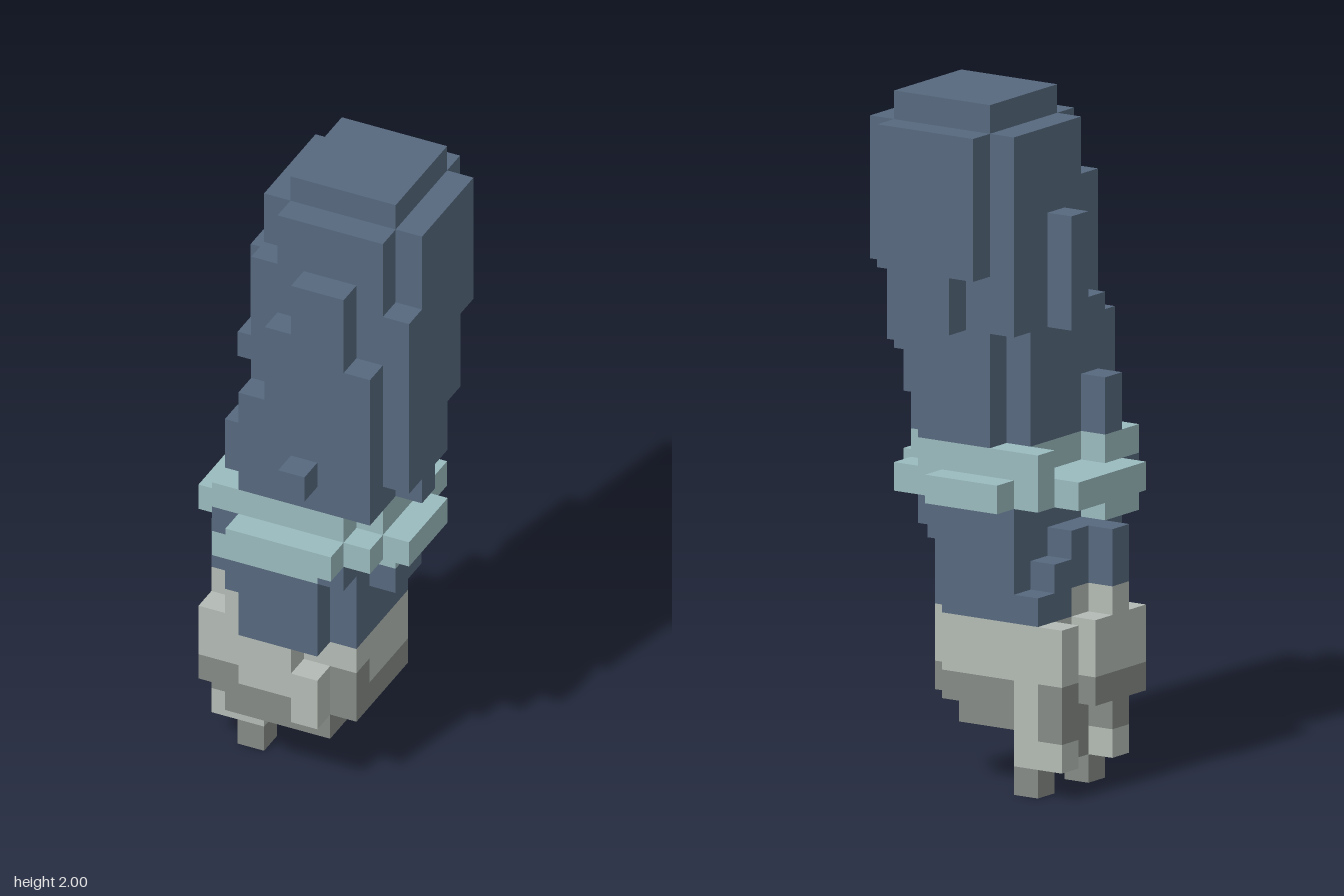
import * as THREE from 'three';

const U = 1 / 12; // size of one block

const material = (name, color) => {
  const m = new THREE.MeshStandardMaterial({ color });
  m.name = name;
  return m;
};
const navy = material('navy', 0x56687e);
const teal = material('teal', 0x9abbbe);
const paleGrey = material('paleGrey', 0xb3bab4);
const darkGrey = material('darkGrey', 0x858a85);

const MATERIALS = {
  upperShaft: navy, band: teal, lowerShaft: navy,
  cuff: paleGrey, base: darkGrey, footStem: paleGrey, footTip: darkGrey,
};

// Each face: outward normal and its four corners, counter-clockwise from outside
const FACES = [
  [[1, 0, 0], [[1, 0, 1], [1, 0, 0], [1, 1, 0], [1, 1, 1]]],
  [[-1, 0, 0], [[0, 0, 0], [0, 0, 1], [0, 1, 1], [0, 1, 0]]],
  [[0, 1, 0], [[0, 1, 1], [1, 1, 1], [1, 1, 0], [0, 1, 0]]],
  [[0, -1, 0], [[0, 0, 0], [1, 0, 0], [1, 0, 1], [0, 0, 1]]],
  [[0, 0, 1], [[0, 0, 1], [1, 0, 1], [1, 1, 1], [0, 1, 1]]],
  [[0, 0, -1], [[1, 0, 0], [0, 0, 0], [0, 1, 0], [1, 1, 0]]],
];

export function createModel() {
  const blocks = new Map();
  const key = (x, y, z) => `${x},${y},${z}`;

  // Fill a range of blocks with a part; a null part carves them away
  const fill = (part, x0, x1, y0, y1, z0, z1) => {
    for (let x = x0; x < x1; x++)
      for (let y = y0; y < y1; y++)
        for (let z = z0; z < z1; z++) {
          if (part) blocks.set(key(x, y, z), { part, p: [x, y, z] });
          else blocks.delete(key(x, y, z));
        }
  };

  // Upper shaft: core and cap
  fill('upperShaft', -2, 3, 12, 23, -3, 2);
  fill(null, -2, -1, 21, 23, 1, 2);
  fill('upperShaft', -1, 3, 23, 24, -3, 1);
  fill(null, -2, -1, 12, 16, -3, -2);
  fill(null, 2, 3, 12, 15, -3, -2);
  // Front plate, column by column: [x, top]
  for (const [x, top] of [[-2, 16], [-1, 19], [0, 21], [1, 21], [2, 18]])
    fill('upperShaft', x, x + 1, 12, top, 2, 3);
  fill('upperShaft', 0, 1, 13, 14, 3, 4);
  // Right plate: [z, bottom, top]
  for (const [z, lo, hi] of [[-3, 18, 23], [-2, 15, 23], [-1, 13, 23], [0, 12, 23], [1, 13, 20]])
    fill('upperShaft', 3, 4, lo, hi, z, z + 1);
  // Back plate: [x, bottom]
  for (const [x, lo] of [[-1, 18], [0, 16], [1, 17], [2, 18]])
    fill('upperShaft', x, x + 1, lo, 23, -4, -3);
  // Ridges on the other side
  fill('upperShaft', -3, -2, 16, 20, -1, 0);
  fill('upperShaft', -3, -2, 16, 17, 0, 1);
  fill('upperShaft', -3, -2, 12, 14, 1, 2);

  // Band: core, corner studs and four bars
  fill('band', -2, 2, 10, 12, -3, 3);
  fill('band', 2, 3, 10, 12, -2, 2);
  fill('band', 2, 3, 10, 11, 2, 3);
  fill('band', 2, 3, 10, 11, -3, -2);
  fill('band', -3, -2, 10, 12, -3, -2);
  fill('band', -3, -2, 10, 11, -2, 1);
  fill('band', -3, -2, 9, 12, 1, 3);
  fill('band', -2, 2, 10, 11, 3, 4);
  fill('band', -2, 1, 10, 11, -4, -3);
  fill('band', 3, 4, 10, 11, -1, 2);
  fill('band', -4, -3, 10, 11, -2, 2);
  fill('lowerShaft', -3, -2, 10, 11, 2, 3);

  // Lower shaft, with cut corners and side lumps
  fill('lowerShaft', -2, 2, 6, 10, -2, 2);
  fill('lowerShaft', -2, 1, 6, 10, -3, -2);
  fill('lowerShaft', -2, 1, 6, 10, 2, 3);
  fill('lowerShaft', 1, 2, 9, 10, -3, -2);
  fill('lowerShaft', 1, 2, 9, 10, 2, 3);
  fill('band', -2, 1, 9, 10, 2, 3);
  fill('lowerShaft', 2, 3, 8, 9, -1, 1);
  fill('band', 2, 3, 9, 10, -1, 1);
  fill('lowerShaft', -3, -2, 7, 9, -1, 2);
  fill('lowerShaft', -3, -2, 6, 8, -2, -1);
  fill('lowerShaft', -3, -2, 6, 7, -3, -2);
  fill('lowerShaft', -4, -3, 7, 9, 0, 1);

  // Cuff and base: pale above, dark below
  for (const [part, y0, y1] of [['cuff', 4, 6], ['base', 3, 4]]) {
    fill(part, -2, 2, y0, y1, -2, 2);
    fill(part, -2, 1, y0, y1, -3, -2);
    fill(part, -2, 0, y0, y1, 2, 3);
    fill(part, -4, -2, y0, y1, -1, 2);
    fill(part, -3, -2, y0, y1, -2, -1);
  }
  fill('cuff', -3, -2, 6, 7, -1, 2);
  fill('cuff', -4, -3, 6, 7, 0, 1);
  fill('cuff', 0, 1, 3, 5, 2, 3);
  fill('base', 1, 2, 4, 5, 1, 2);
  fill('base', -3, 1, 2, 3, -2, 2);

  // Small feet on one side
  fill('footStem', -3, -2, 1, 6, -3, -2);
  fill('footStem', -4, -3, 4, 6, -3, -2);
  fill('base', -4, -3, 2, 4, -3, -2);
  fill('base', -4, -3, 2, 3, 0, 1);
  fill('footStem', -4, -3, 1, 2, -3, -2);
  fill('footStem', -4, -2, 1, 2, 0, 1);
  fill('base', -3, -2, 1, 2, -2, 0);
  fill('footTip', -3, -2, 0, 1, -3, -2);
  fill('footTip', -3, -2, 0, 1, 0, 1);

  // One mesh per part, made of the exposed block faces only
  const group = new THREE.Group();
  group.name = 'blockColumn';
  for (const [name, mat] of Object.entries(MATERIALS)) {
    const position = [], normal = [], index = [];
    for (const { part, p } of blocks.values()) {
      if (part !== name) continue;
      for (const [n, corners] of FACES) {
        if (blocks.has(key(p[0] + n[0], p[1] + n[1], p[2] + n[2]))) continue;
        const i = position.length / 3;
        for (const c of corners) {
          position.push(...c.map((v, k) => (v + p[k]) * U));
          normal.push(...n);
        }
        index.push(i, i + 1, i + 2, i, i + 2, i + 3);
      }
    }
    const geometry = new THREE.BufferGeometry();
    geometry.setAttribute('position', new THREE.Float32BufferAttribute(position, 3));
    geometry.setAttribute('normal', new THREE.Float32BufferAttribute(normal, 3));
    geometry.setIndex(index);
    const mesh = new THREE.Mesh(geometry, mat);
    mesh.name = name;
    group.add(mesh);
  }
  return group;
}
